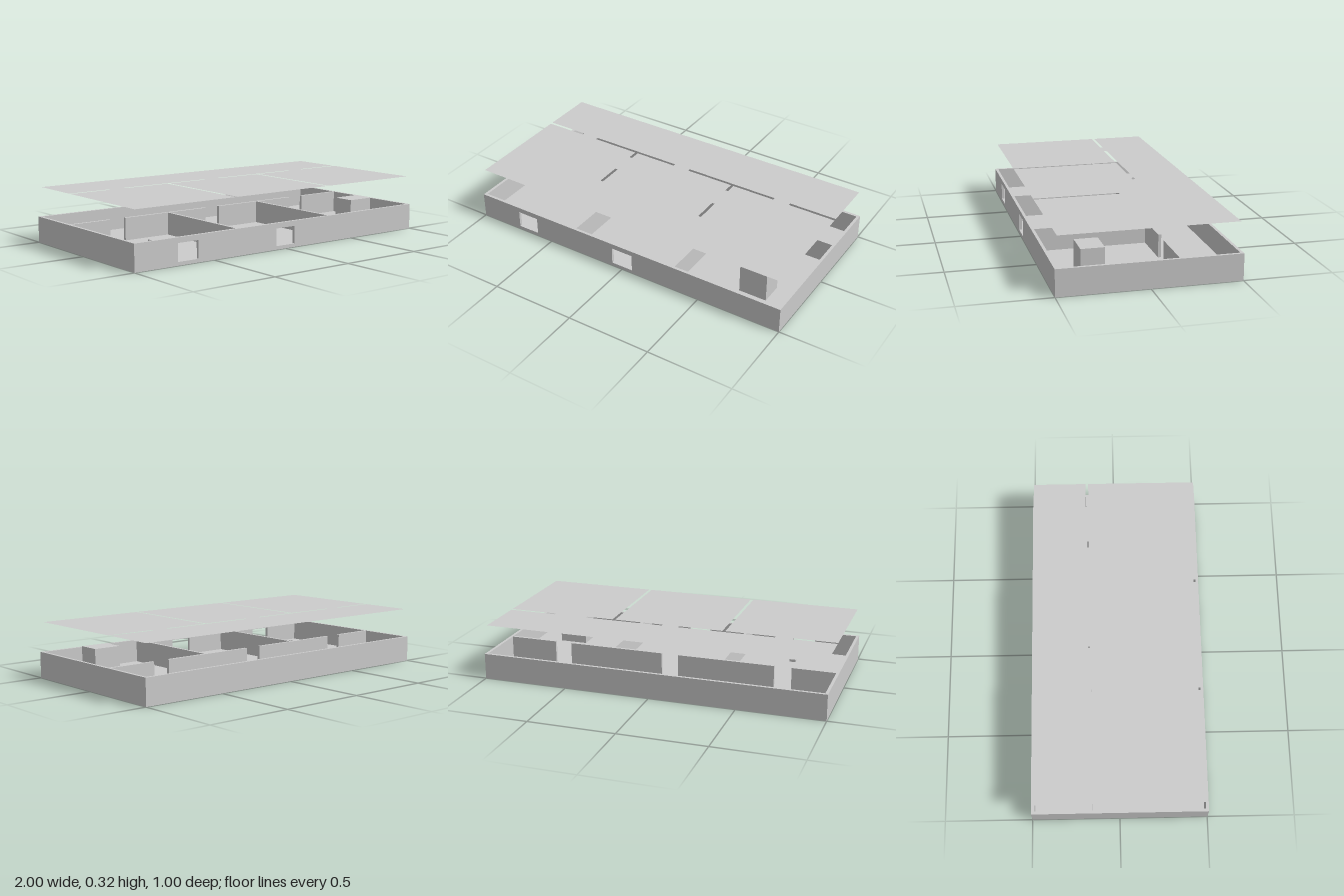
import * as THREE from 'three';

export function createModel() {
  const model = new THREE.Group();
  const grey = new THREE.MeshStandardMaterial({ color: 0xcccccc });
  grey.name = 'plain grey';
  const greySheet = new THREE.MeshStandardMaterial({ color: 0xcccccc, side: THREE.DoubleSide });
  greySheet.name = 'plain grey sheet';

  const T = 0.0167;                // wall thickness
  const FLOOR = 0.02, TOP = 0.15;  // floor surface and wall top
  const IX = 1 - T, IZ = 0.5 - T;  // inner faces of the outer walls
  const CZ = -0.163, PX = 0.333;   // corridor wall and partition centres
  const H = T / 2;

  // Box given by its limits on each axis
  const block = (name, x0, x1, y0, y1, z0, z1) => {
    const mesh = new THREE.Mesh(new THREE.BoxGeometry(x1 - x0, y1 - y0, z1 - z0), grey);
    mesh.position.set((x0 + x1) / 2, (y0 + y1) / 2, (z0 + z1) / 2);
    mesh.name = name;
    model.add(mesh);
  };

  // Floor slab and closed outer walls
  block('floor', -1, 1, 0, FLOOR, -0.5, 0.5);
  block('backWall', -1, 1, FLOOR, TOP, -0.5, -IZ);
  for (const [name, x] of [['leftWall', 1 - H], ['rightWall', H - 1]])
    block(name, x - H, x + H, FLOOR, TOP, -IZ, IZ);

  // Front wall with two doorways
  for (const [a, b] of [[-1, -0.733], [-0.6, -0.067], [0.067, 1]])
    block('frontWall', a, b, FLOOR, TOP, IZ, 0.5);
  for (const [a, b] of [[-0.733, -0.6], [-0.067, 0.067]])
    block('frontLintel', a, b, 0.12, TOP, IZ, 0.5);

  // Corridor wall with three gaps, and the room partitions
  for (const [a, b] of [[-IX, -0.733], [-0.633, -0.067], [0.033, 0.6], [0.7, IX]])
    block('corridorWall', a, b, FLOOR, TOP, CZ - H, CZ + H);
  for (const x of [-PX, PX])
    block('partition', x - H, x + H, FLOOR, TOP, CZ + H, IZ);

  // Furniture
  block('cabinet', 0.665, 0.83, FLOOR, 0.185, 0.2, 0.331);
  block('smallBox', -0.685, -0.65, 0.065, 0.08, 0.153, 0.19);

  // Raised ceiling sheet, slit where the inner walls stand
  const sheets = [
    [-IX, IX, -IZ, CZ - H],
    [-IX, -PX - H, CZ + H, IZ],
    [-PX + H, PX - H, CZ + H, IZ],
    [PX + H, IX, CZ + H, IZ],
    ...[-0.733, -0.067, 0.6].map((x) => [x, x + 0.1, CZ - H, CZ + H]),
  ];
  const ceiling = new THREE.Group();
  ceiling.name = 'ceiling';
  for (const [x0, x1, z0, z1] of sheets) {
    const sheet = new THREE.Mesh(new THREE.PlaneGeometry(x1 - x0, z1 - z0).rotateX(-Math.PI / 2), greySheet);
    sheet.position.set((x0 + x1) / 2, 0.32, (z0 + z1) / 2);
    sheet.name = 'ceilingSheet';
    ceiling.add(sheet);
  }
  model.add(ceiling);
  return model;
}
